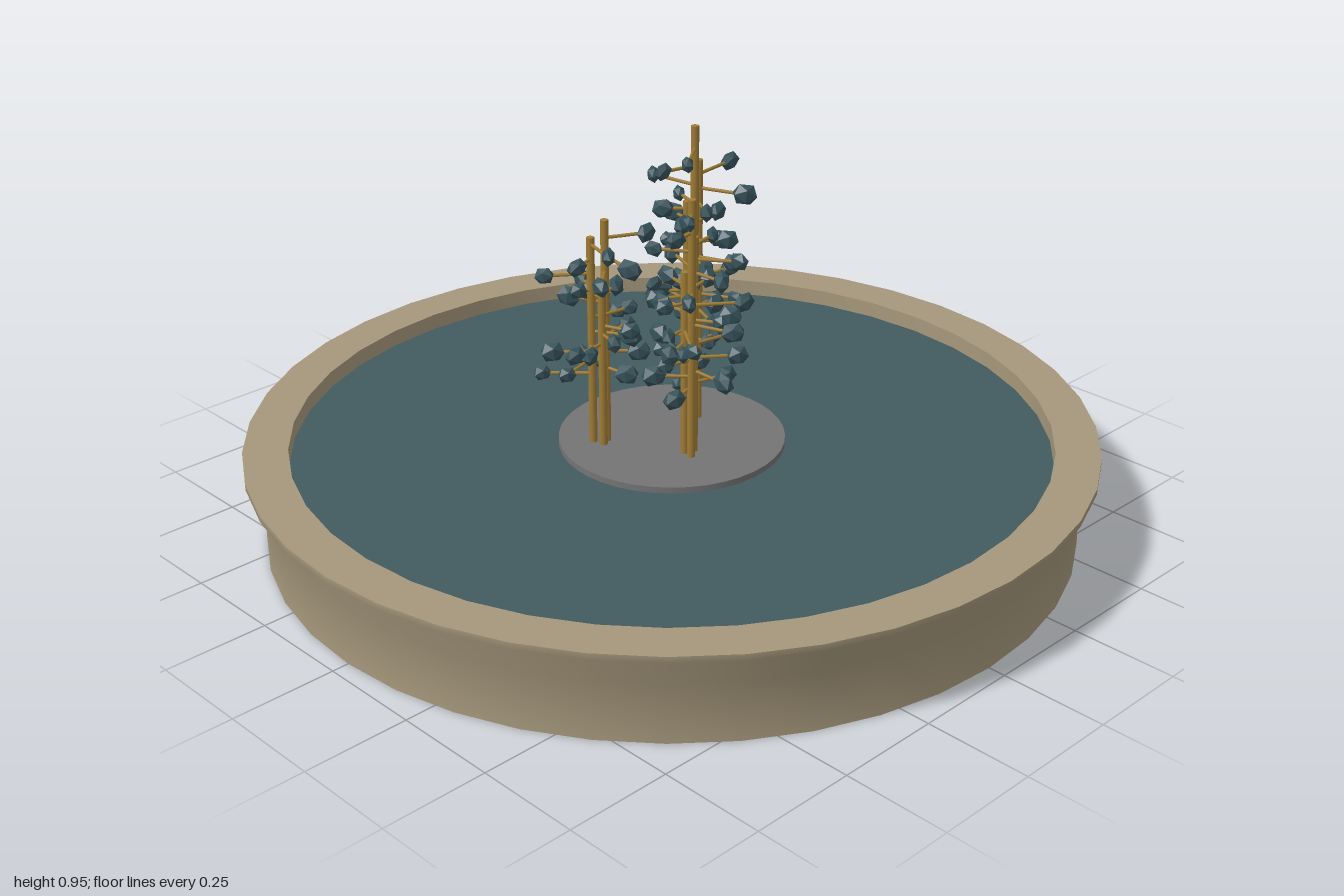
import * as THREE from 'three';
import { toCreasedNormals } from 'three/addons/utils/BufferGeometryUtils.js';

const material = (name, color) => {
  const m = new THREE.MeshStandardMaterial({ color });
  m.name = name;
  return m;
};

export function createModel() {
  const stone = material('sandstone', 0xa5977b);
  const waterBlue = material('waterTeal', 0x425a60);
  const grey = material('islandGrey', 0x747474);
  const gold = material('goldPipe', 0xa07c35);
  const leafTeal = material('leafTeal', 0x36525a);
  leafTeal.flatShading = true;

  const model = new THREE.Group();
  model.name = 'fountain';
  const add = (parent, name, geometry, mat, x = 0, y = 0, z = 0) => {
    const mesh = new THREE.Mesh(geometry, mat);
    mesh.name = name;
    mesh.position.set(x, y, z);
    parent.add(mesh);
    return mesh;
  };

  // Basin: straight wall, flared lip, flat rim and sunken inner wall
  const profile = [[0, 0], [0.96, 0], [0.956, 0.135], [1, 0.215], [1, 0.23], [0.895, 0.23], [0.895, 0.17]]
    .map(([r, y]) => new THREE.Vector2(r, y));
  add(model, 'basin', toCreasedNormals(new THREE.LatheGeometry(profile, 40), 0.65), stone);

  // Water surface and the round island
  add(model, 'water', new THREE.CircleGeometry(0.895, 40).rotateX(-Math.PI / 2), waterBlue, 0, 0.19, 0);
  add(model, 'island', new THREE.CylinderGeometry(0.268, 0.268, 0.03, 40), grey, 0, 0.19, 0);

  // Seeded random numbers in 0..1
  let seed = 17;
  const rand = () => (seed = (seed * 16807) % 2147483647) / 2147483647;
  for (let i = 0; i < 5; i++) rand();

  const stemGeo = new THREE.CylinderGeometry(0.0095, 0.0095, 1, 8);
  const twigGeo = new THREE.CylinderGeometry(0.004, 0.004, 1, 6).rotateZ(Math.PI / 2).translate(0.5, 0, 0);
  const leafGeo = new THREE.IcosahedronGeometry(1, 0);
  const base = 0.2;

  // Each tree: stems as [x, z, top height], the lowest twig and its leaf count
  const trees = [
    { name: 'tallTree', stems: [[0.083, -0.01, 0.95], [0.108, -0.022, 0.86], [0.088, -0.04, 0.76]], low: 0.4, count: 36 },
    { name: 'middleTree', stems: [[-0.048, 0.113, 0.84], [-0.022, 0.095, 0.74], [-0.045, 0.088, 0.66]], low: 0.36, count: 32 },
    { name: 'shortTree', stems: [[-0.157, -0.103, 0.72], [-0.13, -0.085, 0.76], [-0.15, -0.075, 0.6]], low: 0.38, count: 28 },
  ];

  trees.forEach(({ name, stems, low, count }, t) => {
    const tree = new THREE.Group();
    tree.name = name;
    model.add(tree);
    for (const [x, z, top] of stems) {
      add(tree, 'stem', stemGeo, gold, x, (base + top) / 2, z).scale.y = top - base;
    }
    // Level twigs spiral up the stems, each ending in a faceted leaf
    for (let i = 0; i < count; i++) {
      const [x, z, top] = stems[i % stems.length];
      const y = low + (top - 0.01 - low) * (i + 0.5 * rand()) / count;
      const angle = i * 2.4 + t * 1.1 + (rand() - 0.5) * 0.6;
      const length = 0.055 + 0.065 * rand();
      const twig = add(tree, 'twig', twigGeo, gold, x, y, z);
      twig.rotation.y = angle;
      twig.scale.x = length;
      const size = 0.018 + 0.011 * rand();
      const leaf = add(tree, 'leaf', leafGeo, leafTeal,
        x + Math.cos(angle) * length, y, z - Math.sin(angle) * length);
      leaf.rotation.set(0, angle + (rand() - 0.5) * 1.5, (rand() - 0.5) * 0.5);
      leaf.scale.set(size * 1.15, size, size * 0.75);
    }
  });

  return model;
}
